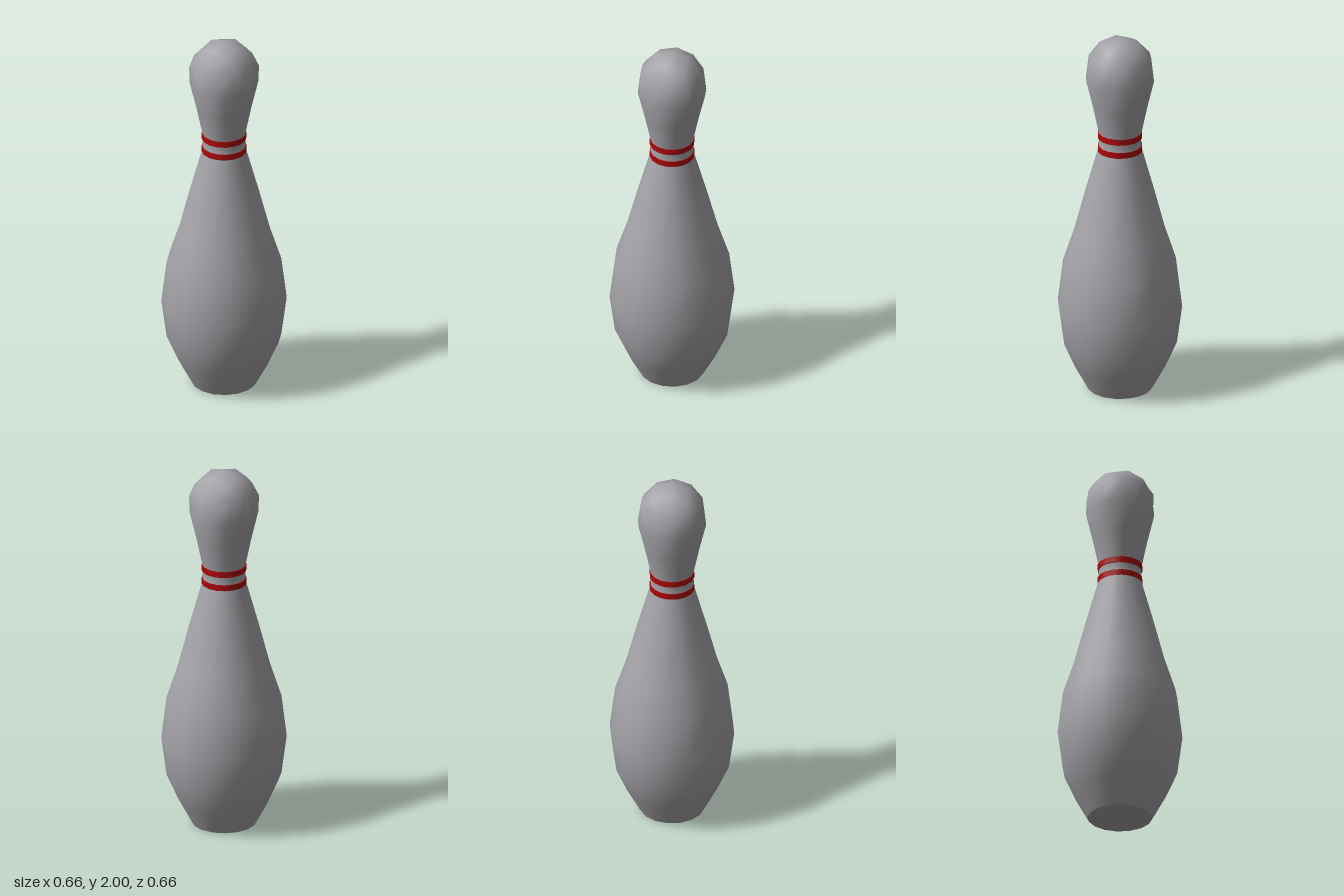
import * as THREE from 'three';

const SIDES = 16;

// Body rings from the foot to the widest part of the head: [radius, height]
const PROFILE = [
  [0.17, 0], [0.24, 0.13], [0.302, 0.27], [0.33, 0.48], [0.302, 0.71], [0.243, 0.89],
  [0.18, 1.13], [0.116, 1.36], [0.112, 1.41], [0.114, 1.46], [0.145, 1.61], [0.181, 1.76],
];

// Ring under the crown: it dips and bulges at the diagonals, where the square crown grid has its corners
const CROWN_RING = [[0.16, 1.9], [0.166, 1.89], [0.184, 1.85], [0.166, 1.89]];

function pinGeometry() {
  const pos = [], index = [];
  const addPoint = (x, y, z) => pos.push(x, y, z) / 3 - 1;

  // Stacked rings, joined by quads
  const rows = PROFILE.length + 1;
  for (let r = 0; r < rows; r++) {
    for (let k = 0; k < SIDES; k++) {
      const [radius, y] = r < PROFILE.length ? PROFILE[r] : CROWN_RING[k % 4];
      const a = (k / SIDES) * Math.PI * 2;
      addPoint(radius * Math.sin(a), y, radius * Math.cos(a));
    }
  }
  for (let r = 0; r < rows - 1; r++) {
    for (let k = 0; k < SIDES; k++) {
      const a = r * SIDES + k, b = r * SIDES + (k + 1) % SIDES;
      index.push(a, b, b + SIDES, a, b + SIDES, a + SIDES);
    }
  }

  // Crown: a 4 x 4 grid whose border is the last ring
  const grid = [];
  for (let i = -2; i <= 2; i++) {
    const column = [];
    for (let j = -2; j <= 2; j++) {
      if (Math.max(Math.abs(i), Math.abs(j)) === 2) {
        const k = Math.round(Math.atan2(i, j) / (Math.PI / 8));
        column.push((rows - 1) * SIDES + (k + SIDES) % SIDES);
      } else {
        const x = i * 0.09, z = j * 0.09;
        column.push(addPoint(x, 1.82 + Math.sqrt(0.18 ** 2 - x * x - z * z), z));
      }
    }
    grid.push(column);
  }
  for (let i = 0; i < 4; i++) {
    for (let j = 0; j < 4; j++) {
      const a = grid[i][j], b = grid[i][j + 1], c = grid[i + 1][j + 1], d = grid[i + 1][j];
      index.push(a, b, c, a, c, d);
    }
  }

  const geometry = new THREE.BufferGeometry();
  geometry.setAttribute('position', new THREE.Float32BufferAttribute(pos, 3));
  geometry.setIndex(index);
  geometry.computeVertexNormals();
  return geometry;
}

export function createModel() {
  const grey = new THREE.MeshStandardMaterial({ name: 'pinGrey', color: 0xa4a3a8 });
  const red = new THREE.MeshStandardMaterial({ name: 'stripeRed', color: 0xac080c });
  const group = new THREE.Group();
  group.name = 'bowlingPin';

  const add = (name, geometry, material) => {
    const mesh = new THREE.Mesh(geometry, material);
    mesh.name = name;
    group.add(mesh);
    return mesh;
  };

  add('body', pinGeometry(), grey);

  // Flat foot, facing down
  add('base', new THREE.CircleGeometry(0.17, SIDES), grey).rotation.x = Math.PI / 2;

  // Two thin neck stripes
  for (const [name, low, high] of [['lowerStripe', 1.355, 1.387], ['upperStripe', 1.43, 1.462]]) {
    const points = [[0.109, low], [0.118, low], [0.118, high], [0.109, high]];
    // Doubled corners keep the rims crisp
    const profile = points.flatMap(([x, y], i) => {
      const p = new THREE.Vector2(x, y);
      return i === 1 || i === 2 ? [p, p.clone()] : [p];
    });
    add(name, new THREE.LatheGeometry(profile, SIDES), red);
  }
  return group;
}
